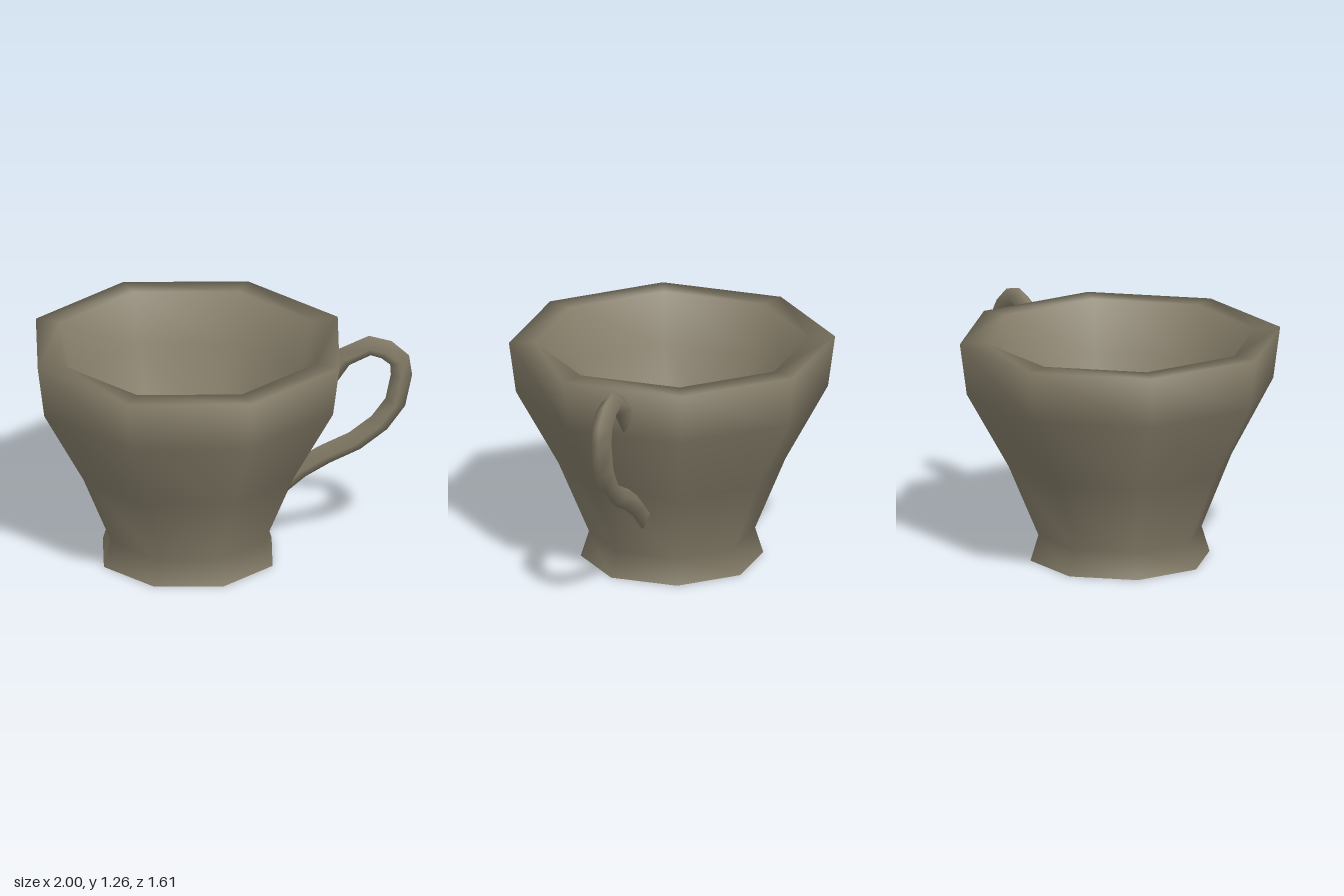
import * as THREE from 'three';

const CUP_X = -0.195;
const TO_CORNER = 1 / Math.cos(Math.PI / 8); // flat-to-centre distance -> corner radius

// Eight-sided smooth shell from [flat distance, height] pairs
function octagonLathe(profile) {
  const pts = profile.map(([r, y]) => new THREE.Vector2(r * TO_CORNER, y));
  return new THREE.LatheGeometry(pts, 8, Math.PI / 8);
}

export function createModel() {
  const model = new THREE.Group();
  model.name = 'cup';
  const clay = new THREE.MeshStandardMaterial({ color: 0x857d69 });
  clay.name = 'greyBrownClay';

  const add = (name, geometry) => {
    const mesh = new THREE.Mesh(geometry, clay);
    mesh.name = name;
    model.add(mesh);
    return mesh;
  };

  // Outer wall, flat rim and inner bowl in one continuous profile
  const bowl = add('bowl', octagonLathe([
    [0.45, 0], [0.41, 0.14], [0.56, 0.53], [0.77, 0.94], [0.805, 1.22],
    [0.675, 1.22], [0.615, 0.94], [0.43, 0.53], [0.28, 0.2], [0, 0.13],
  ]));
  bowl.position.x = CUP_X;

  // Flat underside
  const base = add('base', new THREE.CircleGeometry(0.45 * TO_CORNER, 8, Math.PI / 8));
  base.rotation.x = Math.PI / 2;
  base.position.x = CUP_X;

  // Diamond-section handle, one ring per path point, ends buried in the wall
  const path = [
    [0.54, 1.0], [0.63, 1.13], [0.776, 1.2], [0.865, 1.175], [0.935, 1.115],
    [0.945, 1.03], [0.912, 0.87], [0.827, 0.75], [0.695, 0.645],
    [0.535, 0.567], [0.4, 0.485], [0.25, 0.354],
  ];
  const curve = new THREE.CatmullRomCurve3(path.map(([x, y]) => new THREE.Vector3(x, y, 0)));
  curve.getPointAt = curve.getPoint;
  curve.getTangentAt = curve.getTangent;
  add('handle', new THREE.TubeGeometry(curve, path.length - 1, 0.057, 4, false));

  return model;
}
